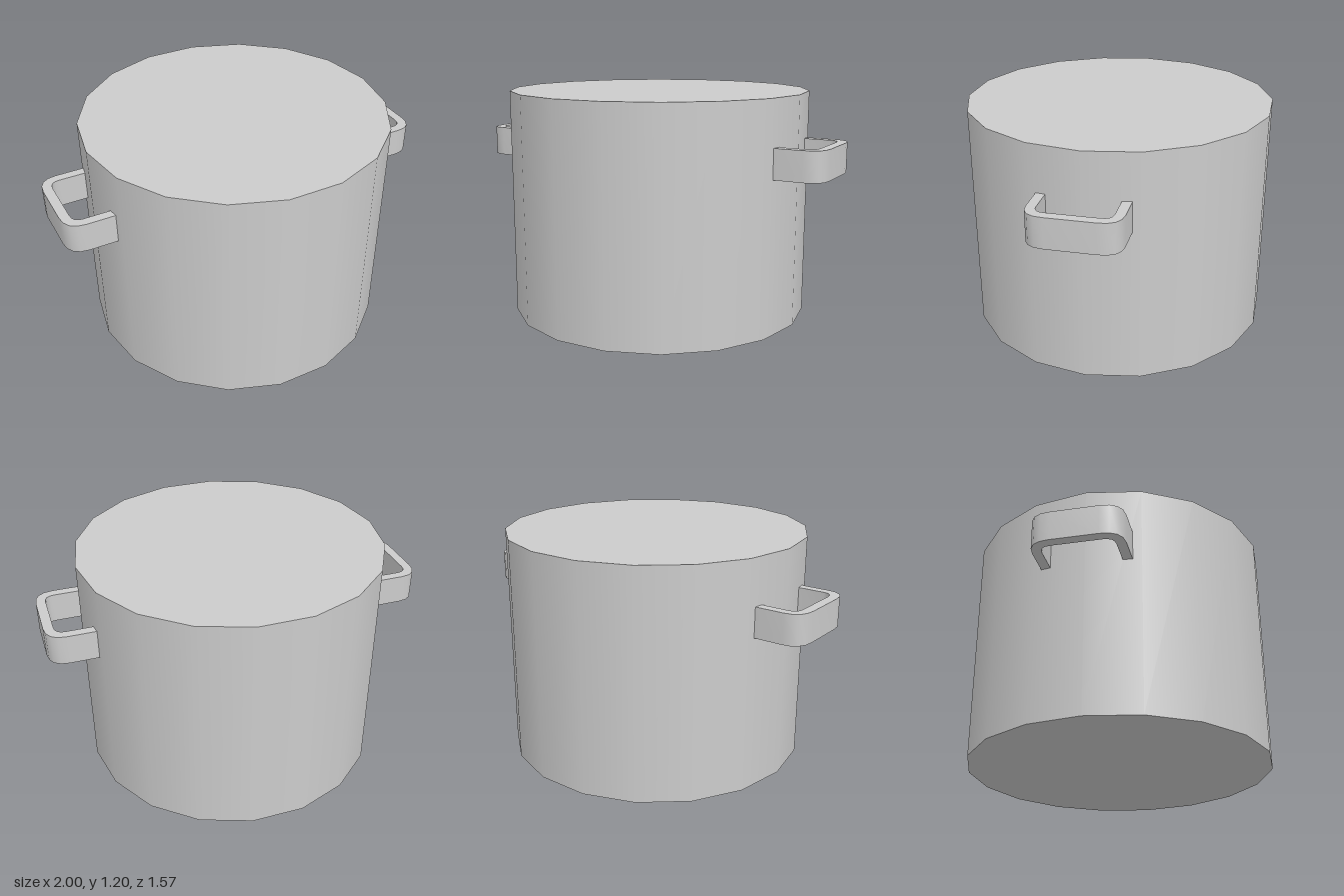
import * as THREE from 'three';
import { toCreasedNormals } from 'three/addons/utils/BufferGeometryUtils.js';

const POT_RADIUS = 0.795, POT_HEIGHT = 1.195;
const HANDLE_BOTTOM = 0.8, HANDLE_HEIGHT = 0.155;

// U-shaped strap with rounded corners, extruded upwards
function handleGeometry() {
  const root = 0.74;
  const s = new THREE.Shape();
  s.moveTo(root, -0.228);
  s.lineTo(0.9, -0.228);
  s.quadraticCurveTo(1, -0.228, 1, -0.12);
  s.lineTo(1, 0.12);
  s.quadraticCurveTo(1, 0.228, 0.9, 0.228);
  s.lineTo(root, 0.228);
  s.lineTo(root, 0.18);
  s.lineTo(0.9, 0.18);
  s.quadraticCurveTo(0.95, 0.18, 0.95, 0.125);
  s.lineTo(0.95, -0.125);
  s.quadraticCurveTo(0.95, -0.18, 0.9, -0.18);
  s.lineTo(root, -0.18);
  s.closePath();
  const geo = new THREE.ExtrudeGeometry(s, { depth: HANDLE_HEIGHT, bevelEnabled: false, curveSegments: 4 });
  geo.rotateX(-Math.PI / 2);
  return toCreasedNormals(geo, 0.8);
}

export function createModel() {
  const group = new THREE.Group();
  group.name = 'cookingPot';
  const material = new THREE.MeshStandardMaterial({ color: 0xcccccc });

  // Closed 18-sided body with a corner on the x axis
  const body = new THREE.Mesh(
    new THREE.CylinderGeometry(POT_RADIUS, POT_RADIUS, POT_HEIGHT, 18, 1, false, Math.PI / 2), material);
  body.name = 'potBody';
  body.position.y = POT_HEIGHT / 2;
  group.add(body);

  // Handles on both sides
  const geo = handleGeometry();
  for (const [name, turn] of [['leftHandle', 0], ['rightHandle', Math.PI]]) {
    const handle = new THREE.Mesh(geo, material);
    handle.name = name;
    handle.position.y = HANDLE_BOTTOM;
    handle.rotation.y = turn;
    group.add(handle);
  }
  return group;
}
